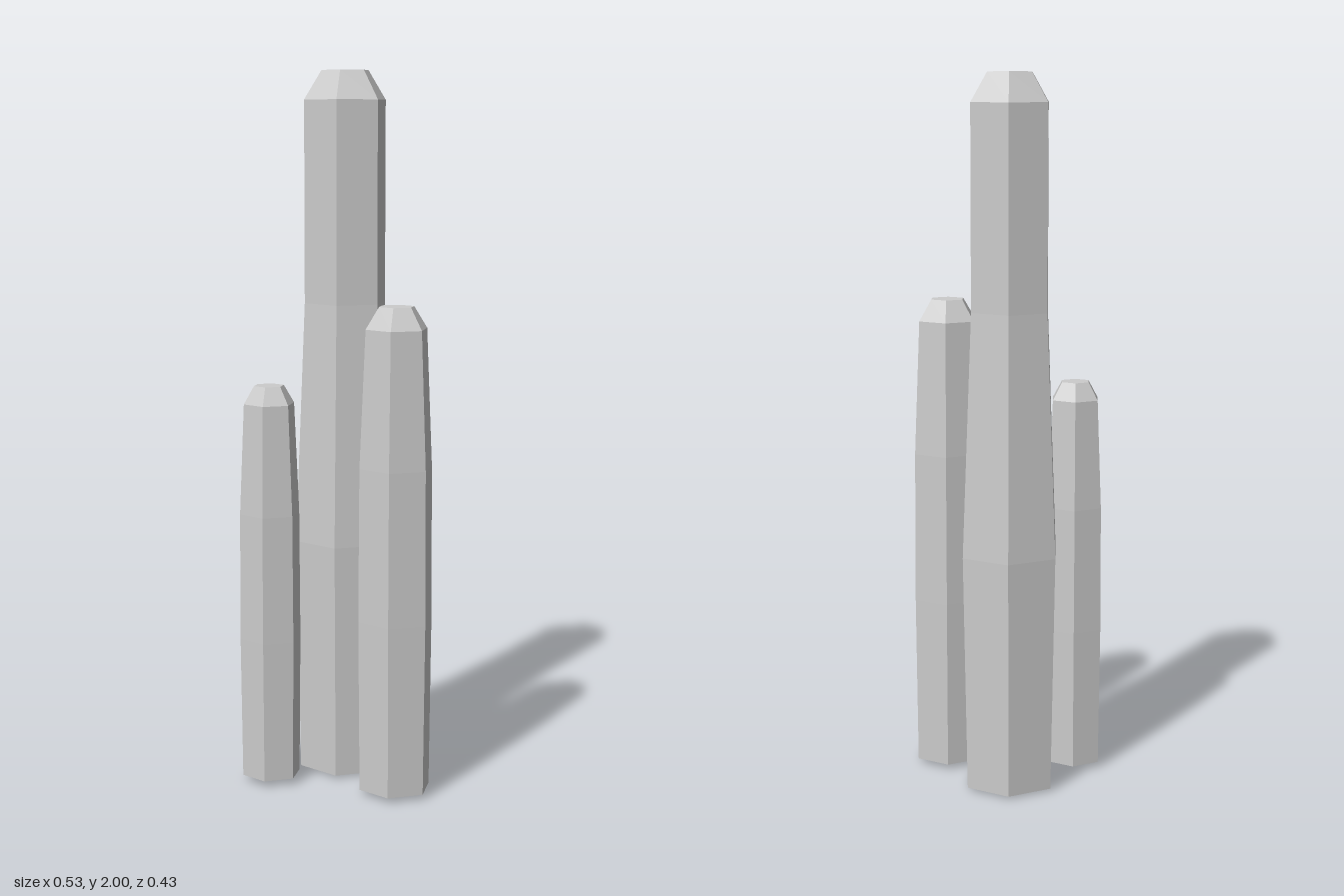
import * as THREE from 'three';

// Six-sided column lofted through [radius, height] rings, corners on +z and -z
function column(name, x, z, rings) {
  const profile = [
    new THREE.Vector2(0, rings[0][1]),
    ...rings.map(([r, y]) => new THREE.Vector2(r, y)),
    new THREE.Vector2(0, rings[rings.length - 1][1]),
  ];
  const geometry = new THREE.LatheGeometry(profile, 6);
  geometry.scale(1.055, 1, 1); // slightly wider than deep
  const material = new THREE.MeshStandardMaterial({ color: 0xcccccc, flatShading: true });
  const mesh = new THREE.Mesh(geometry, material);
  mesh.name = name;
  mesh.position.set(x, 0, z);
  return mesh;
}

export function createModel() {
  const group = new THREE.Group();
  group.name = 'columnCluster';

  // Tall column with a swollen lower half and a bevelled tip
  group.add(column('tallColumn', -0.01, -0.078, [
    [0.085, 0], [0.128, 0.008], [0.14, 0.68], [0.113, 1.36], [0.113, 1.92], [0.065, 2],
  ]));

  // Medium column on the left
  group.add(column('mediumColumn', 0.173, 0.113, [
    [0.062, 0.01], [0.098, 0.015], [0.1025, 0.5], [0.1, 0.93], [0.084, 1.31], [0.048, 1.37],
  ]));

  // Short column on the right
  group.add(column('shortColumn', -0.191, 0.084, [
    [0.05, 0.013], [0.08, 0.018], [0.084, 0.42], [0.082, 0.78], [0.069, 1.09], [0.041, 1.14],
  ]));

  return group;
}
